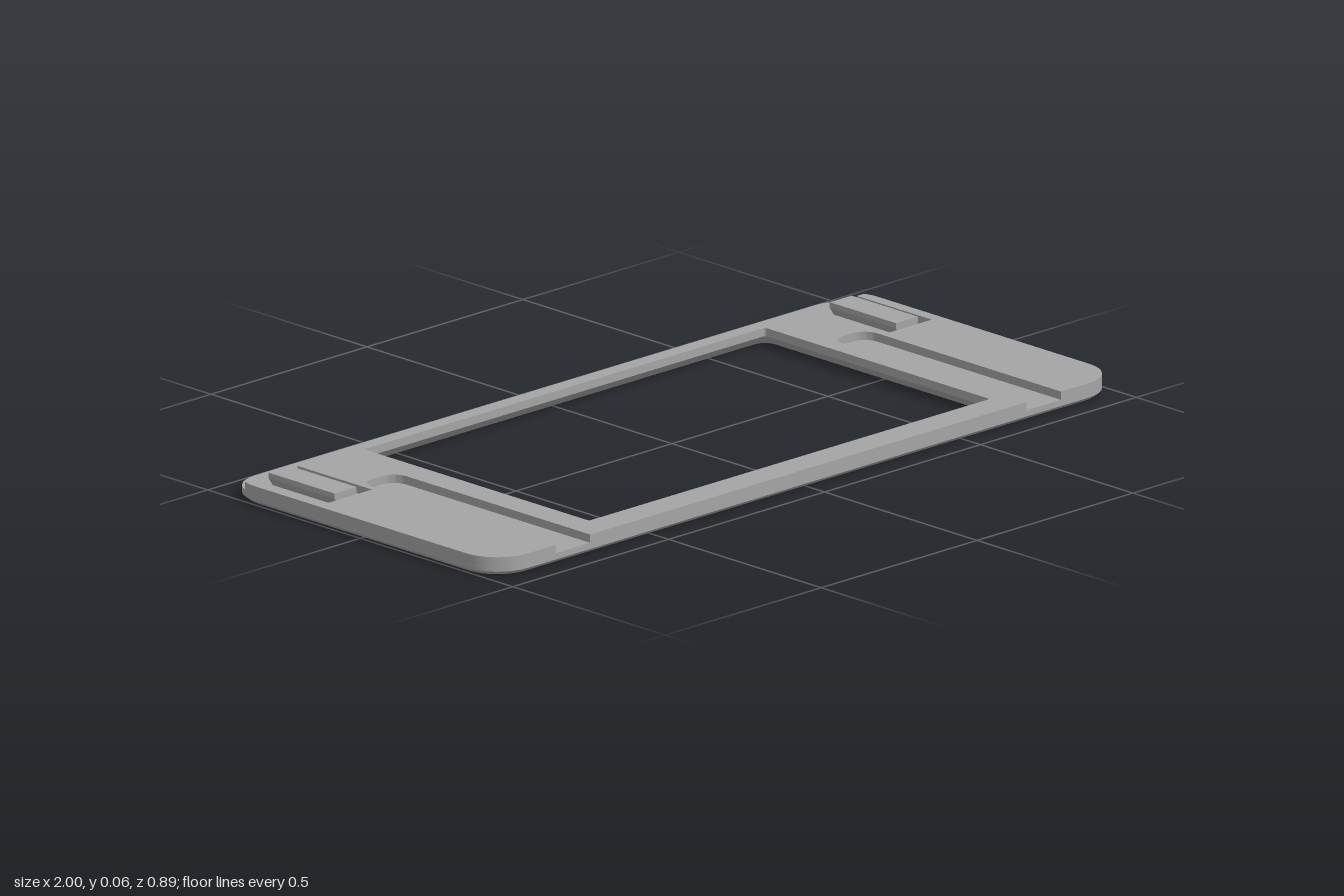
import * as THREE from 'three';
import { toCreasedNormals } from 'three/addons/utils/BufferGeometryUtils.js';

const SPLIT = 0.025, TOP = 0.045;
const HOLE = { x0: -0.63, x1: 0.655, z0: -0.365, z1: 0.372 };

// Points of an arc in the ground plane, as [x, z]
function arc(cx, cz, r, a0, a1, n = 8) {
  return Array.from({ length: n + 1 }, (_, i) => {
    const a = a0 + ((a1 - a0) * i) / n;
    return [cx + r * Math.cos(a), cz + r * Math.sin(a)];
  });
}

// Rounded rectangle loop, grown by d on every side
function roundRect({ x0, x1, z0, z1 }, r, d = 0) {
  const q = Math.PI / 2;
  const l = x0 - d + r, rt = x1 + d - r, b = z0 - d + r, f = z1 + d - r;
  return [...arc(rt, f, r, 0, q), ...arc(l, f, r, q, 2 * q),
    ...arc(l, b, r, 2 * q, 3 * q), ...arc(rt, b, r, 3 * q, 4 * q)];
}

// Closed band through a series of loops, each [points, y]
function loftRing(loops) {
  const pos = [], idx = [], n = loops[0][0].length, m = loops.length;
  loops.forEach(([pts, y]) => pts.forEach(([x, z]) => pos.push(x, y, z)));
  for (let k = 0; k < m; k++) {
    for (let i = 0; i < n; i++) {
      const j = (i + 1) % n, k2 = (k + 1) % m;
      const a = k * n + i, b = k * n + j, c = k2 * n + j, d = k2 * n + i;
      idx.push(a, c, b, a, d, c);
    }
  }
  const g = new THREE.BufferGeometry();
  g.setAttribute('position', new THREE.Float32BufferAttribute(pos, 3));
  g.setIndex(idx);
  return toCreasedNormals(g, 0.5);
}

export function createModel() {
  const group = new THREE.Group();
  const grey = new THREE.MeshStandardMaterial({ color: 0xa5a5a5 });
  grey.name = 'plain grey';
  const add = (name, geometry) => {
    const mesh = new THREE.Mesh(geometry, grey);
    mesh.name = name;
    group.add(mesh);
    return mesh;
  };

  // Lower plate: chamfered rim outside, flared window underneath
  const rim = { x0: -1, x1: 1, z0: -0.447, z1: 0.447 };
  add('lowerPlate', loftRing([
    [roundRect(rim, 0.09, -0.012), 0],
    [roundRect(rim, 0.1), 0.01],
    [roundRect(rim, 0.1), SPLIT],
    [roundRect(HOLE, 0.006), SPLIT],
    [roundRect(HOLE, 0.033, 0.027), 0],
  ]));

  // Upper plate: rear step, two front slots, two rear pockets, window
  const q = Math.PI / 2;
  const half = [
    [0.7, 0.447],
    ...arc(0.74, -0.155, 0.04, 2 * q, 3 * q),
    ...arc(0.77, -0.155, 0.04, 3 * q, 4 * q),
    [0.81, 0.447],
    ...arc(0.9, 0.347, 0.1, q, 0),
    ...arc(0.9, -0.347, 0.1, 0, -0.39, 3),
    [0.97, -0.385], [0.97, -0.14], [0.825, -0.14], [0.825, -0.385],
  ];
  const outline = [...half, ...half.map(([x, z]) => [-x, z]).reverse()];
  const toVec = ([x, z]) => new THREE.Vector2(x, -z);
  const shape = new THREE.Shape(outline.map(toVec));
  shape.holes.push(new THREE.Path(roundRect(HOLE, 0.006).map(toVec)));
  const upper = new THREE.ExtrudeGeometry(shape, { depth: TOP - SPLIT, bevelEnabled: false });
  upper.rotateX(-q).translate(0, SPLIT, 0);
  add('upperPlate', toCreasedNormals(upper, 0.5));

  // Rear tabs: flat head on a tapered foot
  const profile = new THREE.Shape([
    [-0.022, SPLIT], [0.022, SPLIT], [0.035, TOP], [0.035, 0.058], [-0.035, 0.058], [-0.035, TOP],
  ].map(([x, y]) => new THREE.Vector2(x, y)));
  for (const side of [-1, 1]) {
    const tab = new THREE.ExtrudeGeometry(profile, { depth: 0.217, bevelEnabled: false });
    add(side > 0 ? 'leftTab' : 'rightTab', tab).position.set(side * 0.9, 0, -0.367);
  }
  return group;
}
